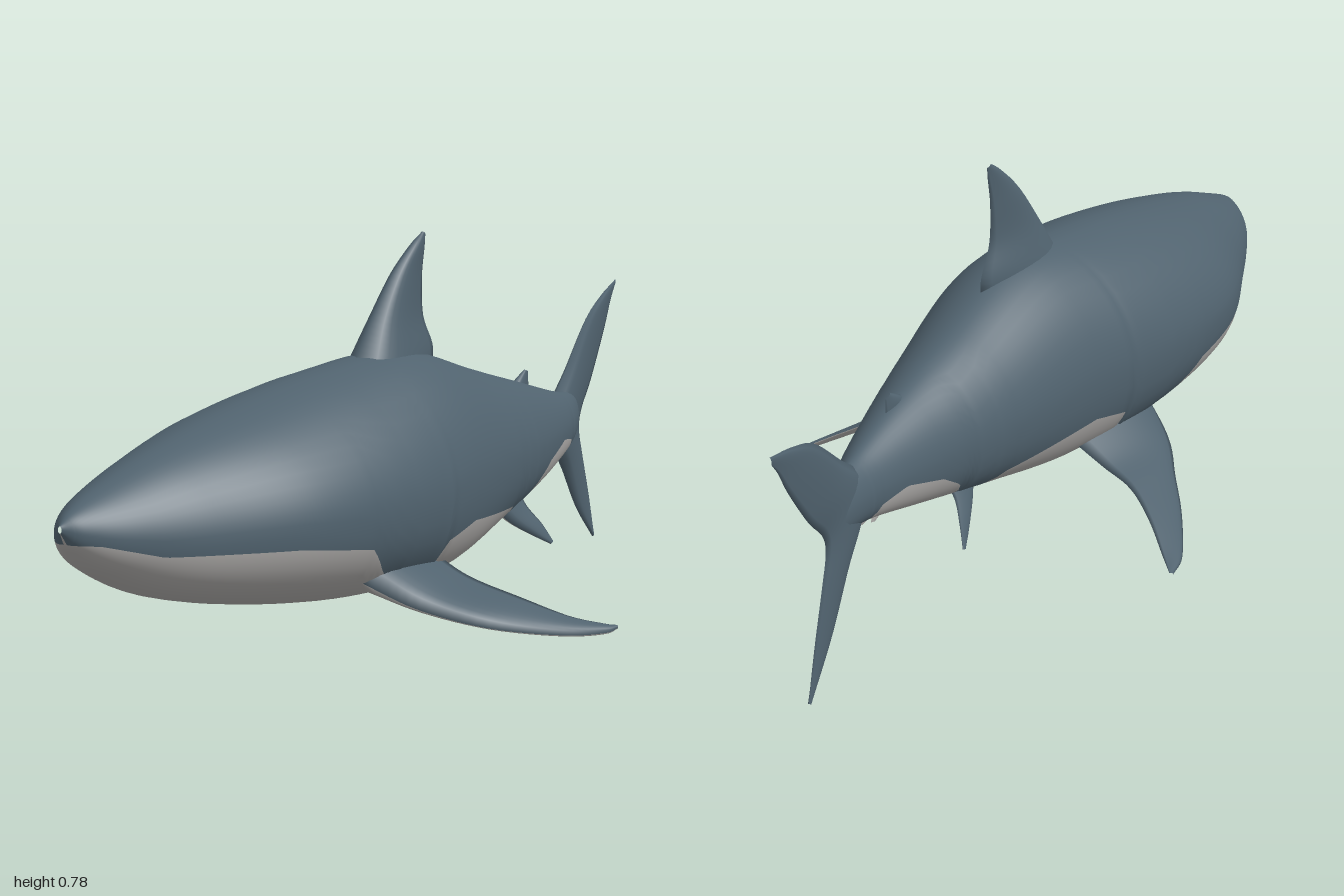
import * as THREE from 'three';

const slate = new THREE.MeshStandardMaterial({ color: 0x50626e });
slate.name = 'slate back';
const pale = new THREE.MeshStandardMaterial({ color: 0xa9a7a5 });
pale.name = 'pale belly';

const V = (a) => new THREE.Vector3(...a);
const curve = (pts) => new THREE.CatmullRomCurve3(pts.map(V), false, 'catmullrom', 0.5);

// Closed tube of rows x cols points; columns before `split` use material 0, the rest material 1
function loft(rows, cols, split, point, flip = false) {
  const pos = [], parts = [[], []];
  for (let i = 0; i <= rows; i++) {
    for (let j = 0; j < cols; j++) pos.push(...point(i / rows, j));
  }
  for (let i = 0; i < rows; i++) {
    for (let j = 0; j < cols; j++) {
      const k = (j + 1) % cols;
      const a = i * cols + j, b = a + cols, d = i * cols + k, c = d + cols;
      parts[j < split ? 0 : 1].push(...(flip ? [a, d, b, b, d, c] : [a, b, d, b, c, d]));
    }
  }
  const g = new THREE.BufferGeometry();
  g.setAttribute('position', new THREE.Float32BufferAttribute(pos, 3));
  g.setIndex([...parts[0], ...parts[1]]);
  g.addGroup(0, parts[0].length, 0);
  g.addGroup(parts[0].length, parts[1].length, 1);
  g.computeVertexNormals();
  return g;
}

function mesh(name, geometry, materials) {
  const m = new THREE.Mesh(geometry, materials);
  m.name = name;
  return m;
}

// Body stations: z, centre x, half width, bottom y, top y
const stations = [
  [1.0, -0.135, 0.004, 0.312, 0.325],
  [0.97, -0.135, 0.037, 0.272, 0.347],
  [0.9, -0.132, 0.087, 0.22, 0.378],
  [0.76, -0.112, 0.153, 0.155, 0.43],
  [0.55, -0.09, 0.226, 0.11, 0.484],
  [0.3, -0.056, 0.235, 0.083, 0.53],
  [0.05, -0.022, 0.199, 0.088, 0.548],
  [-0.2, -0.005, 0.146, 0.148, 0.486],
  [-0.4, 0.008, 0.095, 0.2, 0.435],
  [-0.57, 0.01, 0.052, 0.25, 0.394],
  [-0.68, -0.005, 0.025, 0.277, 0.378],
  [-0.74, -0.018, 0.004, 0.295, 0.345],
];

// Height of the edge between back and belly colours: z, y
const border = [
  [1, 0.29], [0.95, 0.285], [0.85, 0.255], [0.6, 0.24], [0.42, 0.215], [0.36, 0.16],
  [0.28, 0.12], [0.17, 0.115], [0.15, 0.19], [0.05, 0.215], [-0.2, 0.2], [-0.24, 0.165],
  [-0.3, 0.17], [-0.34, 0.23], [-0.4, 0.27], [-0.5, 0.3], [-0.57, 0.29], [-0.6, 0.25], [-1, 0.2],
];
function borderY(z) {
  const i = Math.max(1, border.findIndex((p) => p[0] <= z));
  const [z0, y0] = border[i - 1], [z1, y1] = border[i];
  return THREE.MathUtils.mapLinear(z, z0, z1, y0, y1);
}

function bodyGeometry() {
  const plan = curve(stations.map((s) => [s[0], s[1], s[2]]));
  const side = curve(stations.map((s) => [s[0], s[3], s[4]]));
  const nUp = 1.8, nLow = 2.4, upper = 28, lower = 24;
  return loft(165, upper + lower, upper, (u, j) => {
    const p = plan.getPoint(u), s = side.getPoint(u);
    const z = p.x, bot = s.y, top = s.z, mid = bot + (top - bot) * 0.45;
    // Angle below the widest line where the belly colour starts
    const drop = THREE.MathUtils.clamp((mid - borderY(z)) / (mid - bot), 0.01, 0.995);
    const th = Math.asin(Math.pow(drop, nLow / 2));
    const t = j < upper
      ? -th + (Math.PI + 2 * th) * (j / upper)
      : Math.PI + th + (Math.PI - 2 * th) * ((j - upper) / lower);
    const c = Math.cos(t), sn = Math.sin(t), n = sn > 0 ? nUp : nLow;
    const x = p.y + p.z * Math.sign(c) * Math.pow(Math.abs(c), 2 / n);
    const h = Math.pow(Math.abs(sn), 2 / n);
    return [x, sn > 0 ? mid + (top - mid) * h : mid - (mid - bot) * h, z];
  });
}

// Fin from sections [leading point, trailing point, thickness], thick along `axis`
function finGeometry(sections, axis) {
  const lead = curve(sections.map((s) => s[0]));
  const trail = curve(sections.map((s) => s[1]));
  const thick = curve(sections.map((s) => [s[2], 0, 0]));
  const up = V(axis).normalize(), K = 10;
  const span = lead.getPoint(1).sub(lead.getPoint(0));
  const chord = trail.getPoint(0.5).sub(lead.getPoint(0.5));
  const flip = span.cross(chord).dot(up) < 0;
  return loft(sections.length * 5, 2 * K, K, (u, j) => {
    const s = j <= K ? j / K : (2 * K - j) / K;
    const half = thick.getPoint(u).x * 1.3 * Math.sqrt(s) * (1 - s) * (j <= K ? 1 : -1);
    return lead.getPoint(u).lerp(trail.getPoint(u), s).addScaledVector(up, half).toArray();
  }, flip);
}

export function createModel() {
  const model = new THREE.Group();
  model.name = 'shark';
  model.add(mesh('body', bodyGeometry(), [slate, pale]));
  const addFin = (name, sections, axis, under = slate, over = slate) =>
    model.add(mesh(name, finGeometry(sections, axis), [over, under]));

  addFin('dorsalFin', [
    [[-0.035, 0.48, 0.22], [-0.012, 0.48, -0.07], 0.12],
    [[-0.033, 0.545, 0.18], [-0.012, 0.54, -0.085], 0.09],
    [[-0.03, 0.62, 0.125], [-0.012, 0.61, -0.045], 0.055],
    [[-0.024, 0.7, 0.06], [-0.012, 0.69, -0.04], 0.034],
    [[-0.015, 0.755, 0.0], [-0.01, 0.75, -0.047], 0.02],
    [[-0.011, 0.782, -0.04], [-0.01, 0.775, -0.05], 0.006],
  ], [1, 0, 0.08]);

  addFin('secondDorsalFin', [
    [[0.008, 0.4, -0.35], [0.01, 0.4, -0.46], 0.03],
    [[0.008, 0.434, -0.4], [0.01, 0.425, -0.458], 0.018],
    [[0.01, 0.456, -0.44], [0.01, 0.45, -0.456], 0.006],
  ], [1, 0, 0]);

  // Tail fin, lower tip to upper tip: lead z, lead y, trail z, trail y, thickness
  const tailX = (z) => -0.02 + (z + 0.75) * 0.13;
  addFin('tailFin', [
    [-0.86, 0.015, -0.868, 0.022, 0.006],
    [-0.75, 0.1, -0.83, 0.12, 0.016],
    [-0.665, 0.2, -0.785, 0.22, 0.028],
    [-0.59, 0.28, -0.762, 0.28, 0.04],
    [-0.59, 0.36, -0.775, 0.325, 0.038],
    [-0.68, 0.435, -0.84, 0.39, 0.028],
    [-0.8, 0.53, -0.925, 0.495, 0.018],
    [-0.9, 0.575, -0.965, 0.555, 0.012],
    [-1.0, 0.606, -0.993, 0.588, 0.004],
  ].map(([lz, ly, tz, ty, t]) => [[tailX(lz), ly, lz], [tailX(tz), ty, tz], t]), [1, 0, -0.13]);

  addFin('leftPectoralFin', [
    [[0.11, 0.14, 0.39], [0.11, 0.15, 0.11], 0.07],
    [[0.19, 0.085, 0.32], [0.19, 0.112, 0.11], 0.04],
    [[0.3, 0.045, 0.24], [0.3, 0.08, 0.1], 0.026],
    [[0.4, 0.018, 0.115], [0.385, 0.045, 0.06], 0.018],
    [[0.45, 0.012, 0.03], [0.44, 0.026, 0.01], 0.012],
    [[0.461, 0.017, -0.005], [0.456, 0.022, -0.008], 0.005],
  ], [0.25, 1, 0.15], pale);

  addFin('rightPectoralFin', [
    [[-0.18, 0.15, 0.36], [-0.16, 0.15, 0.05], 0.07],
    [[-0.285, 0.085, 0.27], [-0.23, 0.11, 0.045], 0.04],
    [[-0.345, 0.055, 0.165], [-0.3, 0.085, 0.025], 0.026],
    [[-0.4, 0.03, 0.065], [-0.365, 0.055, -0.03], 0.018],
    [[-0.452, 0.008, -0.06], [-0.425, 0.022, -0.1], 0.012],
    [[-0.46, 0.005, -0.13], [-0.455, 0.012, -0.138], 0.005],
  ], [-0.4, 1, 0.1], pale);

  // Pelvic fins, mirrored about the slightly bent body axis
  for (const [name, s] of [['leftPelvicFin', 1], ['rightPelvicFin', -1]]) {
    const x = (d) => 0.008 + s * d;
    addFin(name, [
      [[x(0.05), 0.2, -0.2], [x(0.05), 0.22, -0.32], 0.04],
      [[x(0.075), 0.155, -0.245], [x(0.075), 0.18, -0.32], 0.024],
      [[x(0.098), 0.12, -0.305], [x(0.098), 0.14, -0.345], 0.014],
      [[x(0.115), 0.095, -0.355], [x(0.115), 0.1, -0.366], 0.005],
    ], [s, 0.5, 0], pale);
  }

  addFin('analFin', [
    [[0.01, 0.255, -0.43], [0.01, 0.26, -0.53], 0.03],
    [[0.01, 0.228, -0.475], [0.01, 0.235, -0.522], 0.016],
    [[0.01, 0.213, -0.51], [0.01, 0.216, -0.526], 0.005],
  ], [1, 0, 0], pale, pale);

  return model;
}
